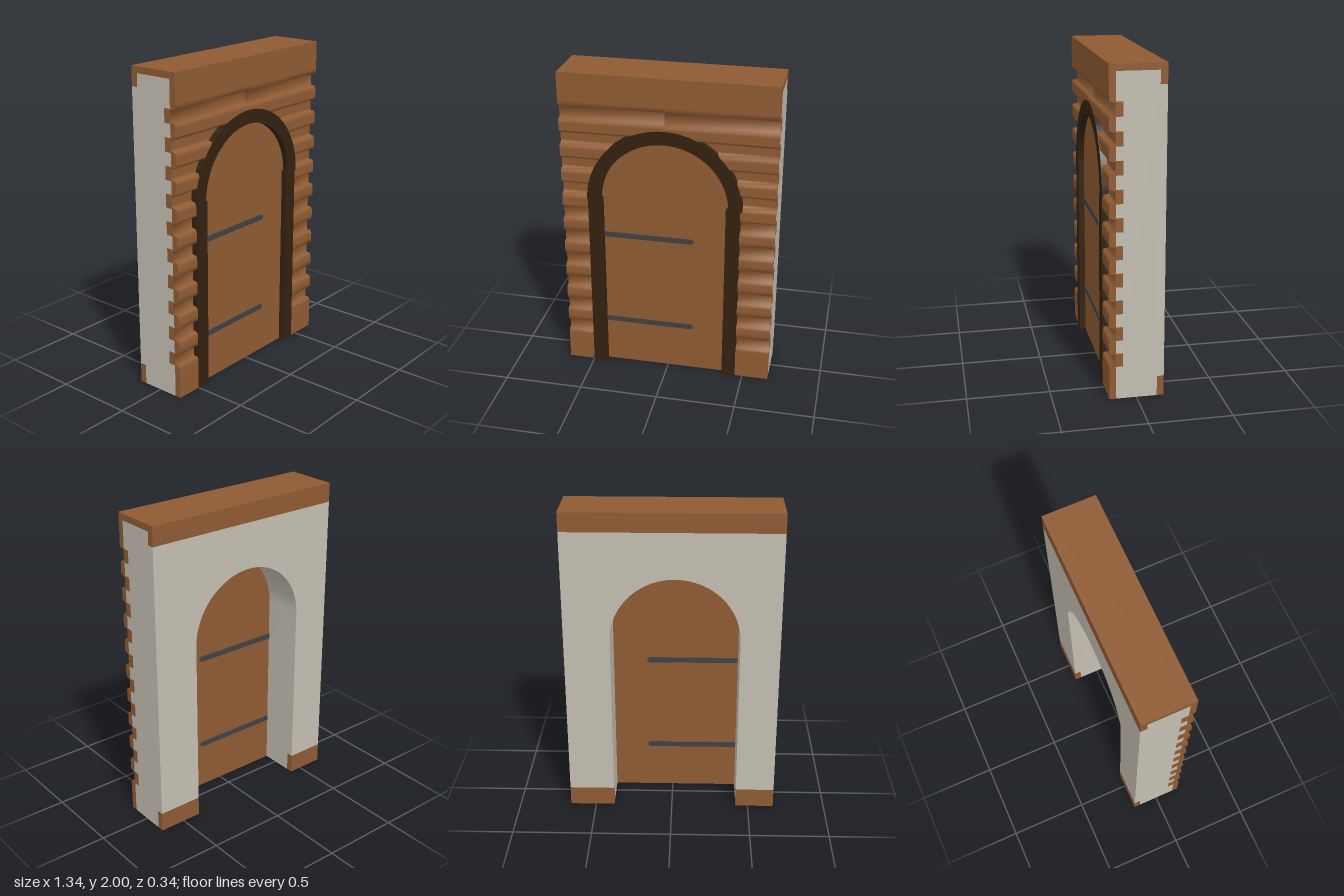
import * as THREE from 'three';
import { toCreasedNormals } from 'three/addons/utils/BufferGeometryUtils.js';

const HALF = 0.667, BACK = -0.167, FRONT = 0.165;
const CX = -0.02, SPRING = 1.19, R = 0.4; // arched opening

const mat = (name, color, side = THREE.FrontSide) => {
  const m = new THREE.MeshStandardMaterial({ color, side });
  m.name = name;
  return m;
};

export function createModel() {
  const group = new THREE.Group();
  const wood = mat('wood', 0x8f5b33, THREE.DoubleSide);
  const plaster = mat('plaster', 0xc4beb2);
  const darkWood = mat('dark wood', 0x33210f);
  const iron = mat('iron', 0x404145);

  const add = (name, geometry, material) => {
    const mesh = new THREE.Mesh(geometry, material);
    mesh.name = name;
    group.add(mesh);
    return mesh;
  };
  const box = (name, x0, x1, y0, y1, z0, z1, material) => {
    const mesh = add(name, new THREE.BoxGeometry(x1 - x0, y1 - y0, z1 - z0), material);
    mesh.position.set((x0 + x1) / 2, (y0 + y1) / 2, (z0 + z1) / 2);
    return mesh;
  };
  const slab = (name, shape, z0, z1, material) => {
    const g = new THREE.ExtrudeGeometry(shape, { depth: z1 - z0, bevelEnabled: false, curveSegments: 32 });
    g.translate(0, 0, z0);
    return add(name, toCreasedNormals(g, 0.6), material);
  };

  // Plaster wall with the arched doorway cut up from its foot
  const wallShape = (y0, y1) => {
    const s = new THREE.Shape();
    s.moveTo(-HALF, y0);
    s.lineTo(CX - R, y0);
    s.lineTo(CX - R, SPRING);
    s.absarc(CX, SPRING, R, Math.PI, 0, true);
    s.lineTo(CX + R, y0);
    s.lineTo(HALF, y0);
    s.lineTo(HALF, y1);
    s.lineTo(-HALF, y1);
    return s;
  };
  slab('wall', wallShape(0, 1.96), -0.125, 0.125, plaster);
  slab('wallBack', wallShape(0.125, 1.88), BACK, -0.125, plaster);

  // Timber trim: top cap, rear lintel and rear skirting
  box('topCap', -HALF, HALF, 1.96, 2, BACK, FRONT - 0.001, wood);
  box('rearLintel', -HALF, HALF, 1.88, 1.96, BACK, -0.125, wood);
  const skirting = [wood, wood, wood, plaster, wood, wood];
  box('rightSkirting', -HALF, CX - R, 0, 0.125, BACK, -0.125, skirting);
  box('leftSkirting', CX + R, HALF, 0, 0.125, BACK, -0.125, skirting);

  // Profile of the grooved log cladding, from the foot up: [y, z]
  const profile = [[0, FRONT]];
  const grooves = Array.from({ length: 10 }, (_, i) => 0.25 + i / 6);
  for (const c of grooves) {
    profile.push([c - 0.055, FRONT], [c - 0.04, 0.158], [c - 0.035, 0.128],
      [c + 0.033, 0.128], [c + 0.045, FRONT], [c + 0.075, FRONT]);
  }
  profile.push([2, FRONT]);

  // Finer rows around the arch so the cladding follows its curve
  const rows = [];
  profile.forEach(([y, z], i) => {
    if (i > 0) {
      const [py, pz] = profile[i - 1];
      const n = y > 1.15 && y < 1.75 ? Math.ceil((y - py) / 0.015) : 1;
      for (let k = 1; k < n; k++) rows.push([py + (y - py) * k / n, pz + (z - pz) * k / n]);
    }
    rows.push([y, z]);
  });
  const gap = (y) => {
    const h = Math.max(0, y - SPRING), r = R + 0.04;
    return h < r ? Math.sqrt(r * r - h * h) : 0;
  };
  for (const side of [-1, 1]) {
    const pos = [], index = [];
    rows.forEach(([y, z], i) => {
      const inner = CX + side * gap(y);
      pos.push(side < 0 ? -HALF : inner, y, z, side < 0 ? inner : HALF, y, z);
      if (i) {
        const a = 2 * i - 2;
        index.push(a, a + 1, a + 3, a, a + 3, a + 2);
      }
    });
    const g = new THREE.BufferGeometry();
    g.setAttribute('position', new THREE.Float32BufferAttribute(pos, 3));
    g.setIndex(index);
    g.computeVertexNormals();
    const label = side < 0 ? 'right' : 'left';
    add(label + 'LogCladding', g, wood);

    // Cut end of the cladding
    const end = new THREE.Shape();
    end.moveTo(-0.124, 0);
    profile.forEach(([y, z]) => end.lineTo(-z, y));
    end.lineTo(-0.124, 2);
    const cap = new THREE.ShapeGeometry(end);
    cap.rotateY(Math.PI / 2);
    // side faces outward on both ends
    if (side < 0) {
      cap.scale(-1, 1, 1);
      const ix = cap.index.array;
      for (let i = 0; i < ix.length; i += 3) [ix[i], ix[i + 1]] = [ix[i + 1], ix[i]];
      cap.computeVertexNormals();
    }
    add(label + 'CladdingEnd', cap, wood).position.x = side * HALF;

    // Wood inlays in the wall ends behind each groove
    for (const c of grooves) {
      const x = side * HALF;
      box(label + 'GrooveInlay', x - 0.002, x + 0.002, c - 0.042, c + 0.042, 0.083, 0.127, wood);
    }
    // Underside of the cladding
    const inner = CX + side * (R + 0.04);
    box(label + 'CladdingFoot', Math.min(inner, side * HALF), Math.max(inner, side * HALF),
      0, 0.01, 0.12, FRONT - 0.002, wood);
  }

  // Door leaf
  const door = new THREE.Shape();
  door.moveTo(CX - R, 0);
  door.lineTo(CX + R, 0);
  door.lineTo(CX + R, SPRING);
  door.absarc(CX, SPRING, R, 0, Math.PI, false);
  slab('door', door, 0.093, 0.13, wood);

  // Door frame: two posts and an arch
  box('rightPost', -0.5, -0.41, 0, 1.2, 0.115, 0.169, darkWood);
  box('leftPost', 0.365, 0.452, 0, 1.2, 0.115, 0.169, darkWood);
  const arch = new THREE.Shape();
  arch.absarc(CX, SPRING, 0.485, 0, Math.PI, false);
  arch.absarc(CX, SPRING, R, Math.PI, 0, true);
  slab('frameArch', arch, 0.115, 0.168, darkWood);

  // Strap hinges showing on both faces of the door
  for (const y of [0.315, 0.94]) {
    const s = new THREE.Shape();
    s.moveTo(-0.418, y - 0.017);
    s.lineTo(0.15, y - 0.017);
    s.lineTo(0.163, y - 0.008);
    s.lineTo(0.163, y + 0.008);
    s.lineTo(0.15, y + 0.017);
    s.lineTo(-0.418, y + 0.017);
    slab('strapHinge', s, 0.086, 0.137, iron);
  }
  return group;
}
